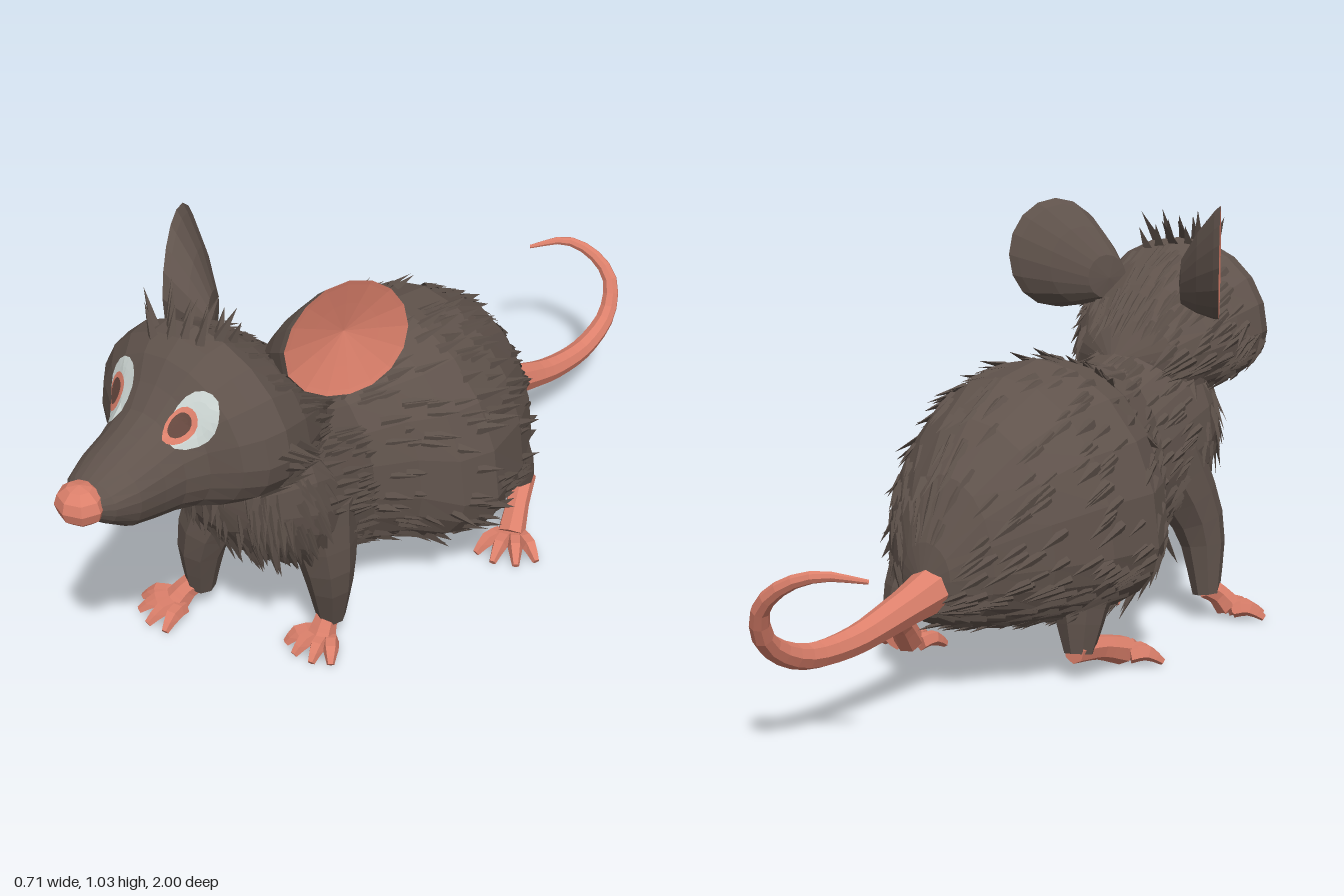
import * as THREE from 'three';
import { mergeGeometries } from 'three/addons/utils/BufferGeometryUtils.js';

const V = (x, y, z) => new THREE.Vector3(x, y, z);
const mat = (name, color, side = THREE.FrontSide) =>
  Object.assign(new THREE.MeshStandardMaterial({ color, flatShading: true, side }), { name });

let seed = 7;
const rand = () => (seed = (seed * 16807) % 2147483647) / 2147483647;

// Skin over a list of rings, each ring counter-clockwise seen from the next one
function skin(rings) {
  const n = rings[0].length, pos = [], idx = [];
  rings.forEach(r => r.forEach(p => pos.push(p.x, p.y, p.z)));
  for (let i = 0; i < rings.length - 1; i++)
    for (let j = 0; j < n; j++) {
      const a = i * n + j, b = i * n + (j + 1) % n;
      idx.push(a, b, b + n, a, b + n, a + n);
    }
  const g = new THREE.BufferGeometry();
  g.setAttribute('position', new THREE.Float32BufferAttribute(pos, 3));
  g.setIndex(idx);
  g.computeVertexNormals();
  return g;
}

// Tapered limb along a smooth path
function limb(points, radii, sides = 7, steps = 6) {
  const curve = new THREE.CatmullRomCurve3(points.map(p => V(...p)));
  const f = curve.computeFrenetFrames(steps), rings = [];
  const ring = (i, r) => Array.from({ length: sides }, (_, j) => {
    const a = j / sides * Math.PI * 2;
    return curve.getPointAt(i / steps)
      .addScaledVector(f.normals[i], Math.cos(a) * r).addScaledVector(f.binormals[i], Math.sin(a) * r);
  });
  rings.push(ring(0, 0));
  for (let i = 0; i <= steps; i++) {
    const t = i / steps * (radii.length - 1), k = Math.min(Math.floor(t), radii.length - 2);
    rings.push(ring(i, THREE.MathUtils.lerp(radii[k], radii[k + 1], t - k)));
  }
  rings.push(ring(steps, 0));
  return skin(rings);
}

// Cross-sections: z, height of widest point, half width, top, bottom
const BODY = [
  [-.47, .26, 0, .26, .26], [-.45, .27, .065, .35, .18], [-.39, .28, .14, .49, .15],
  [-.29, .29, .232, .6, .13], [-.16, .295, .3, .675, .115], [-.02, .295, .33, .7, .115],
  [.07, .31, .3, .69, .14], [.14, .34, .23, .665, .16], [.25, .38, .185, .655, .19],
  [.36, .43, .19, .69, .22], [.45, .46, .195, .72, .27], [.53, .48, .165, .69, .33],
  [.575, .49, .1, .6, .41], [.59, .5, 0, .5, .5]];
const HEAD = [
  [.29, .65, 0, .65, .65], [.36, .66, .14, .75, .54], [.44, .68, .195, .83, .54],
  [.52, .7, .23, .89, .55], [.6, .71, .248, .935, .562], [.65, .71, .235, .93, .566],
  [.69, .71, .2, .9, .57], [.725, .7, .142, .855, .574], [.765, .695, .112, .81, .578],
  [.81, .69, .1, .785, .585], [.87, .69, .09, .76, .6], [.92, .69, .07, .735, .635],
  [.95, .69, .04, .715, .66], [.96, .69, 0, .69, .69]];

// Rounded above, fuller below
function onSection([z, y, w, top, bot], a) {
  const c = Math.cos(a), s = Math.sin(a);
  return V(Math.sign(c) * Math.abs(c) ** (s < 0 ? .8 : 1) * w, y + s * (s > 0 ? top - y : y - bot), z);
}
const loft = (rows, sides) => skin(rows.map(r =>
  Array.from({ length: sides }, (_, j) => onSection(r, j / sides * Math.PI * 2))));

function surface(rows, z, a) {
  let i = 0;
  while (i < rows.length - 2 && rows[i + 1][0] < z) i++;
  const t = (z - rows[i][0]) / (rows[i + 1][0] - rows[i][0]);
  return onSection(rows[i].map((v, k) => THREE.MathUtils.lerp(v, rows[i + 1][k], t)), a);
}

// One flat pointed lock of fur
function lock(p, dir, normal, len, width) {
  const d = dir.clone().normalize(), s = V().crossVectors(d, normal).normalize();
  const n = V().crossVectors(s, d);
  const m = new THREE.Matrix4().makeBasis(s, d, n).setPosition(p);
  return new THREE.ConeGeometry(1, 1, 3, 1, true).translate(0, .5, 0)
    .scale(width, len, width * .4).applyMatrix4(m);
}

// Locks scattered over a lofted form, combed along a flow direction
function fur(rows, count, z0, z1, flow, keep = () => true) {
  const out = [];
  while (out.length < count) {
    const z = z0 + rand() * (z1 - z0), a = rand() * Math.PI * 2;
    const p = surface(rows, z, a);
    if (!keep(p)) continue;
    const n = V().crossVectors(surface(rows, z, a + .01).sub(p), surface(rows, z + .004, a).sub(p)).normalize();
    const d = flow(p);
    d.addScaledVector(n, -d.dot(n)).normalize().addScaledVector(n, .07 + rand() * .12);
    out.push(lock(p.addScaledVector(n, -.003), d, n, .055 + rand() * .045, .011 + rand() * .01));
  }
  return mergeGeometries(out);
}

// Paw: tapered foot and four fanned toes
function paw(start, ball, heading, r, toe) {
  const parts = [limb([start, start.map((v, i) => (v + ball[i]) / 2 + (i === 1 ? .008 : 0)), ball], [r, r, r * 1.2])];
  for (let k = 0; k < 4; k++) {
    const a = heading + (k - 1.5) * .42, w = (k - 1.5) * .018;
    const x = ball[0] + Math.cos(heading) * w, z = ball[2] - Math.sin(heading) * w;
    const l = toe * (k === 0 || k === 3 ? .85 : 1), at = (f, y) => [x + Math.sin(a) * l * f, y, z + Math.cos(a) * l * f];
    parts.push(limb([[x, .028, z], at(.5, .033), at(1, .01)], [.02, .019, .009], 5, 4));
  }
  return mergeGeometries(parts);
}

// Cupped ear: furry back shell and bare inner cup, drawn out to a root at the front
function earRings(s, list) {
  return list.map(([scale, shift, depth]) => {
    const ring = Array.from({ length: 16 }, (_, j) => {
      const a = j / 16 * Math.PI * 2, r = scale * (1 + .12 * Math.max(0, Math.cos(a - 3.5)) ** 4);
      const u = Math.cos(a) * .13 * r - .1 * shift, v = Math.sin(a) * .136 * r - .06 * shift;
      return V(s * (.237 + u * .48 + depth * .88), .9 + v, .4 - u * .88 + depth * .48);
    });
    return s > 0 ? ring : ring.reverse();
  });
}

export function createModel() {
  const model = new THREE.Group();
  model.name = 'rat';
  const furMat = mat('dark brown fur', 0x60534c), lockMat = mat('fur locks', 0x5c5049, THREE.DoubleSide);
  const skinMat = mat('pink skin', 0xdc806b);
  const whiteMat = mat('eye white', 0xccd5d2), pupilMat = mat('dark pupil', 0x66483f);
  const add = (name, geo, material) => {
    const m = new THREE.Mesh(geo, material);
    m.name = name;
    model.add(m);
    return m;
  };

  // Body, head and nose
  add('body', loft(BODY, 20), furMat);
  const head = add('head', loft(HEAD, 20), furMat);
  add('nose', new THREE.SphereGeometry(1, 8, 6).scale(.056, .045, .05).translate(0, .692, .95), skinMat);

  // Coat
  const back = p => V(0, p.z > .42 ? -1 : -.35, p.z > .42 ? -.35 : -1);
  add('bodyFur', fur(BODY, 850, -.43, .53, back), lockMat);
  add('chestFur', fur(BODY, 110, .52, .588, p => V(p.x, -1, 0)), lockMat);
  add('neckFur', fur(HEAD, 240, .36, .58, () => V(0, -.4, -1)), lockMat);
  add('cheekFur', fur(HEAD, 36, .54, .64, p => V(Math.sign(p.x) * .5, -.5, -.7), p => p.y < .74 && Math.abs(p.x) > .17), lockMat);
  const crest = [];
  for (let i = 0; i < 14; i++) {
    const p = surface(HEAD, .57 + (i * 5 % 14) * .007, Math.PI / 2 + (i - 6) * .05 + rand() * .04);
    p.y -= .012;
    crest.push(lock(p, V(p.x * 5 + rand() * .6 - .3, .9, -.7 + rand() * .6), V(0, .4, 1), .055 + rand() * .045, .018));
  }
  add('crownTuft', mergeGeometries(crest), lockMat);

  // Eyes: thin discs laid over the head
  const ray = new THREE.Raycaster();
  const disc = (cx, cy, rx, ry, lift) => skin([1, .66, .33, 0].map(r => Array.from({ length: 16 }, (_, j) => {
    const a = j / 16 * Math.PI * 2, p = V(cx + Math.cos(a) * rx * r, cy + Math.sin(a) * ry * r, 2);
    ray.set(p, V(0, 0, -1));
    const hit = ray.intersectObject(head)[0];
    return p.setZ((hit ? hit.point.z : .7) + lift);
  })));
  for (const [side, x, ix] of [['left', .106, .087], ['right', -.096, -.102]]) {
    add(side + 'EyeWhite', disc(x, .815, .044, .055, .006), whiteMat);
    add(side + 'EyeRing', disc(ix, .806, .028, .034, .01), skinMat);
    add(side + 'Pupil', disc(ix, .808, .019, .023, .014), pupilMat);
  }

  // Ears
  for (const [side, s] of [['left', 1], ['right', -1]]) {
    add(side + 'EarBack', skin(earRings(s, [[0, 1, -.1], [.4, .95, -.095], [.72, .5, -.055], [.95, .12, -.014], [1, 0, 0]])), furMat);
    add(side + 'EarInner', skin(earRings(s, [[1, 0, 0], [.92, 0, -.003], [.55, 0, -.015], [0, 0, -.032]])), skinMat);
  }

  // Legs
  add('rightFrontLeg', limb([[-.1, .42, .38], [-.165, .24, .445], [-.19, .07, .44]], [.1, .066, .034], 8), furMat);
  add('leftFrontLeg', limb([[.1, .42, .36], [.135, .24, .36], [.12, .07, .335]], [.1, .064, .034], 8), furMat);
  add('rightHindLeg', limb([[-.17, .25, -.1], [-.19, .15, -.13], [-.2, .06, -.15]], [.11, .065, .034], 8), furMat);
  add('leftHindLeg', limb([[.15, .27, -.22], [.18, .19, -.28], [.195, .12, -.31]], [.11, .065, .034], 8), furMat);

  // Paws
  add('rightFrontPaw', paw([-.19, .085, .44], [-.225, .036, .485], -.45, .028, .09), skinMat);
  add('leftFrontPaw', paw([.12, .085, .335], [.12, .036, .37], .05, .028, .075), skinMat);
  add('rightHindPaw', paw([-.2, .07, -.17], [-.22, .036, 0], -.2, .029, .09), skinMat);
  add('leftHindPaw', paw([.195, .13, -.325], [.24, .036, -.21], .45, .029, .095), skinMat);

  // Tail
  add('tail', limb([[-.01, .25, -.42], [0, .215, -.55], [.015, .18, -.7], [.025, .185, -.84], [.025, .24, -.94],
    [0, .32, -.98], [-.06, .375, -.98], [-.13, .4, -.955], [-.2, .385, -.89]],
  [.056, .042, .034, .03, .027, .023, .018, .013, .005], 8, 24), skinMat);

  return model;
}
